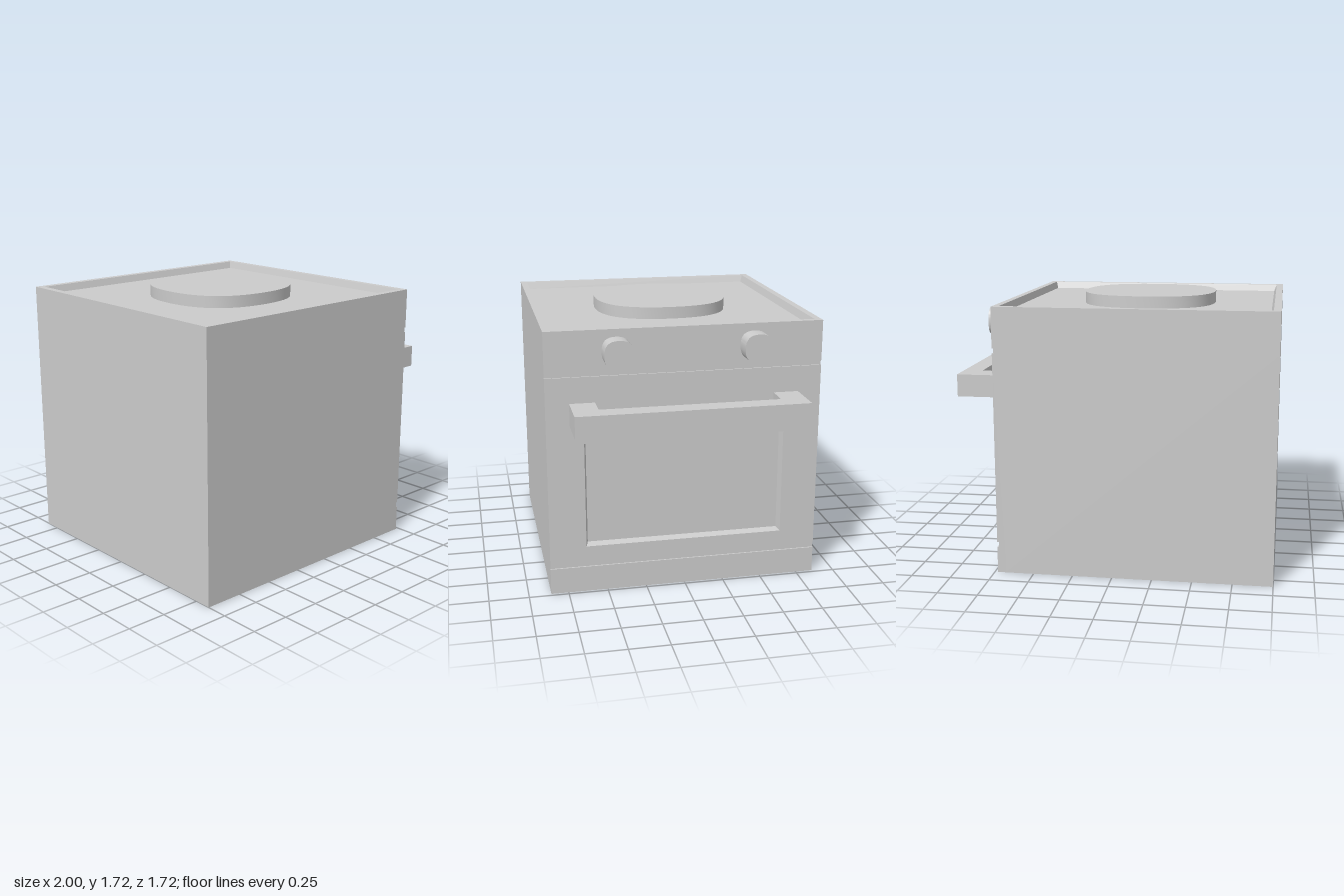
import * as THREE from 'three';
import { toCreasedNormals } from 'three/addons/utils/BufferGeometryUtils.js';

const material = new THREE.MeshStandardMaterial({ color: 0xcccccc });

function addMesh(parent, name, geometry) {
  const mesh = new THREE.Mesh(geometry, material);
  mesh.name = name;
  parent.add(mesh);
  return mesh;
}

// Box given by its lower and upper corners
function box(x0, x1, y0, y1, z0, z1) {
  return new THREE.BoxGeometry(x1 - x0, y1 - y0, z1 - z0)
    .translate((x0 + x1) / 2, (y0 + y1) / 2, (z0 + z1) / 2);
}

// Solid through rectangular rings [u0, u1, v0, v1, d], capped at both ends;
// place(u, v, d) turns a ring corner into x, y, z
function rectLoft(rings, place) {
  const loops = rings.map(([u0, u1, v0, v1, d]) =>
    [[u0, v0], [u1, v0], [u1, v1], [u0, v1]].map(([u, v]) => place(u, v, d)));
  const positions = [];
  const quad = (a, b, c, d) => positions.push(...a, ...b, ...c, ...a, ...c, ...d);
  const first = loops[0], last = loops[loops.length - 1];
  quad(first[3], first[2], first[1], first[0]);
  for (let i = 0; i < loops.length - 1; i++) {
    for (let j = 0; j < 4; j++) {
      const k = (j + 1) % 4;
      quad(loops[i][j], loops[i][k], loops[i + 1][k], loops[i + 1][j]);
    }
  }
  quad(...last);
  const geometry = new THREE.BufferGeometry();
  geometry.setAttribute('position', new THREE.Float32BufferAttribute(positions, 3));
  geometry.computeVertexNormals();
  return geometry;
}

// Disc with a softly squared outline, standing on z = 0
function softDisc(r, depth, roundness) {
  const k = r * roundness;
  const shape = new THREE.Shape();
  shape.moveTo(r, 0);
  shape.bezierCurveTo(r, k, k, r, 0, r);
  shape.bezierCurveTo(-k, r, -r, k, -r, 0);
  shape.bezierCurveTo(-r, -k, -k, -r, 0, -r);
  shape.bezierCurveTo(k, -r, r, -k, r, 0);
  const geometry = new THREE.ExtrudeGeometry(shape, { depth, bevelEnabled: false, curveSegments: 16 });
  return toCreasedNormals(geometry, 0.6);
}

export function createModel() {
  const oven = new THREE.Group();
  oven.name = 'oven';
  const L = -1, F = 0.73, core = 0.68, W = 0.86, H = 1.685;

  // Cabinet behind the door
  addMesh(oven, 'cabinet', box(L, core, 0, 1.432, -W, W));

  // Control panel block with the sunken hob on top
  addMesh(oven, 'hobAndControlPanel', rectLoft([
    [-W, W, L, F, 1.432],
    [-W, W, L, F, H],
    [-0.817, 0.817, -0.955, 0.69, H],
    [-0.8, 0.8, -0.938, 0.678, 1.64],
  ], (u, v, d) => [v, d, u]));

  // Door with a recessed window
  addMesh(oven, 'door', rectLoft([
    [0.2, 1.402, -W, W, core],
    [0.2, 1.402, -W, W, F],
    [0.305, 0.982, -0.63, 0.63, F],
    [0.317, 0.974, -0.616, 0.616, core + 0.002],
  ], (u, v, d) => [d, u, v]));

  // Bottom drawer and the shallow grooves around the door
  addMesh(oven, 'drawer', box(core, F, 0, 0.167, -W, W));
  addMesh(oven, 'lowerGroove', box(core, F - 0.01, 0.167, 0.2, -W, W));
  addMesh(oven, 'upperGroove', box(core, F - 0.01, 1.402, 1.432, -W, W));

  // Hot plate
  const plate = softDisc(0.431, 0.075, 0.67).rotateX(-Math.PI / 2);
  addMesh(oven, 'hotPlate', plate).position.set(-0.133, 1.64, 0);

  // Knobs
  for (const side of [-1, 1]) {
    const knob = softDisc(0.088, 0.115, 0.7).rotateY(Math.PI / 2);
    addMesh(oven, side > 0 ? 'leftKnob' : 'rightKnob', knob).position.set(F, 1.55, side * 0.426);
  }

  // Door handle: a square-cut bracket
  const bracket = new THREE.Shape([
    [F, -0.715], [1, -0.715], [1, 0.715], [F, 0.715],
    [F, 0.558], [0.88, 0.558], [0.88, -0.558], [F, -0.558],
  ].map(([x, y]) => new THREE.Vector2(x, y)));
  const handle = new THREE.ExtrudeGeometry(bracket, { depth: 0.14, bevelEnabled: false });
  addMesh(oven, 'handle', handle.rotateX(-Math.PI / 2)).position.y = 1.1;

  return oven;
}
